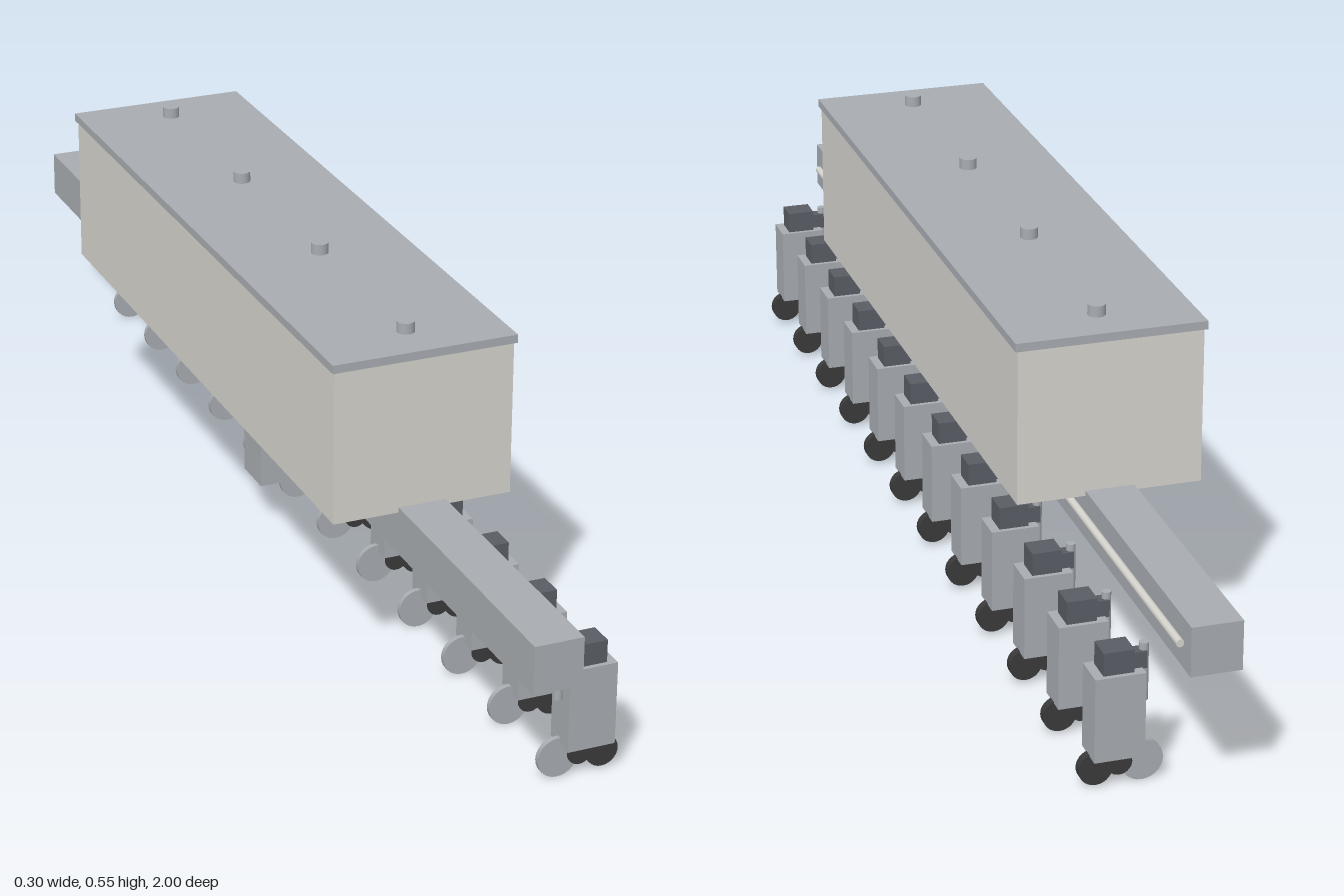
import * as THREE from 'three';

const mat = (color) => new THREE.MeshStandardMaterial({ color });
const steel = mat(0xa8acb1);
const bin = mat(0xd6d4ce);
const dark = mat(0x595d64);
const rubber = mat(0x3a3a3a);

// Box given by its extents on each axis
function box(parent, name, material, [x0, x1], [y0, y1], [z0, z1]) {
  const mesh = new THREE.Mesh(new THREE.BoxGeometry(x1 - x0, y1 - y0, z1 - z0), material);
  mesh.position.set((x0 + x1) / 2, (y0 + y1) / 2, (z0 + z1) / 2);
  mesh.name = name;
  parent.add(mesh);
}

// Cylinder along y or z, centred on a point
function cylinder(parent, name, material, radius, length, axis, [x, y, z], sides = 28) {
  const geometry = new THREE.CylinderGeometry(radius, radius, length, sides);
  if (axis === 'z') geometry.rotateX(Math.PI / 2);
  const mesh = new THREE.Mesh(geometry, material);
  mesh.position.set(x, y, z);
  mesh.name = name;
  parent.add(mesh);
}

// One row unit: body, meter, bracket, tube and three ground wheels
function rowUnit() {
  const unit = new THREE.Group();
  unit.name = 'rowUnit';
  box(unit, 'unitBody', steel, [0.06, 0.134], [0.05, 0.18], [-0.027, 0.027]);
  box(unit, 'seedMeter', dark, [0.075, 0.12], [0.18, 0.215], [-0.02, 0.02]);
  box(unit, 'unitBracket', dark, [0.053, 0.075], [0.178, 0.204], [-0.01, 0.01]);
  cylinder(unit, 'seedTube', steel, 0.007, 0.089, 'y', [0.055, 0.17, 0], 16);
  cylinder(unit, 'openerDisc', steel, 0.031, 0.008, 'z', [0.056, 0.031, 0]);
  cylinder(unit, 'gaugeWheel', rubber, 0.019, 0.012, 'z', [0.09, 0.033, 0]);
  cylinder(unit, 'pressWheel', rubber, 0.025, 0.014, 'z', [0.125, 0.029, 0]);
  return unit;
}

export function createModel() {
  const model = new THREE.Group();
  model.name = 'seedDrill';

  // Main beam, hitch block and air pipe
  box(model, 'mainBeam', steel, [-0.045, 0.03], [0.215, 0.29], [-1, 1]);
  box(model, 'hitchBlock', steel, [-0.041, 0.029], [0.073, 0.216], [-0.072, 0]);
  cylinder(model, 'airPipe', bin, 0.006, 1.938, 'z', [0.035, 0.253, -0.002], 16);

  // Hopper with lid and knobs
  box(model, 'hopper', bin, [-0.148, 0.134], [0.282, 0.523], [-0.552, 0.548]);
  box(model, 'hopperLid', steel, [-0.152, 0.138], [0.523, 0.536], [-0.556, 0.552]);
  for (let i = 0; i < 4; i++) {
    cylinder(model, 'lidKnob', steel, 0.0135, 0.018, 'y', [-0.007, 0.544, -0.484 + i * 0.321], 20);
  }

  // Twelve row units along the beam
  for (let i = 0; i < 12; i++) {
    const unit = rowUnit();
    unit.position.z = -0.882 + i * 0.16;
    model.add(unit);
  }
  return model;
}
